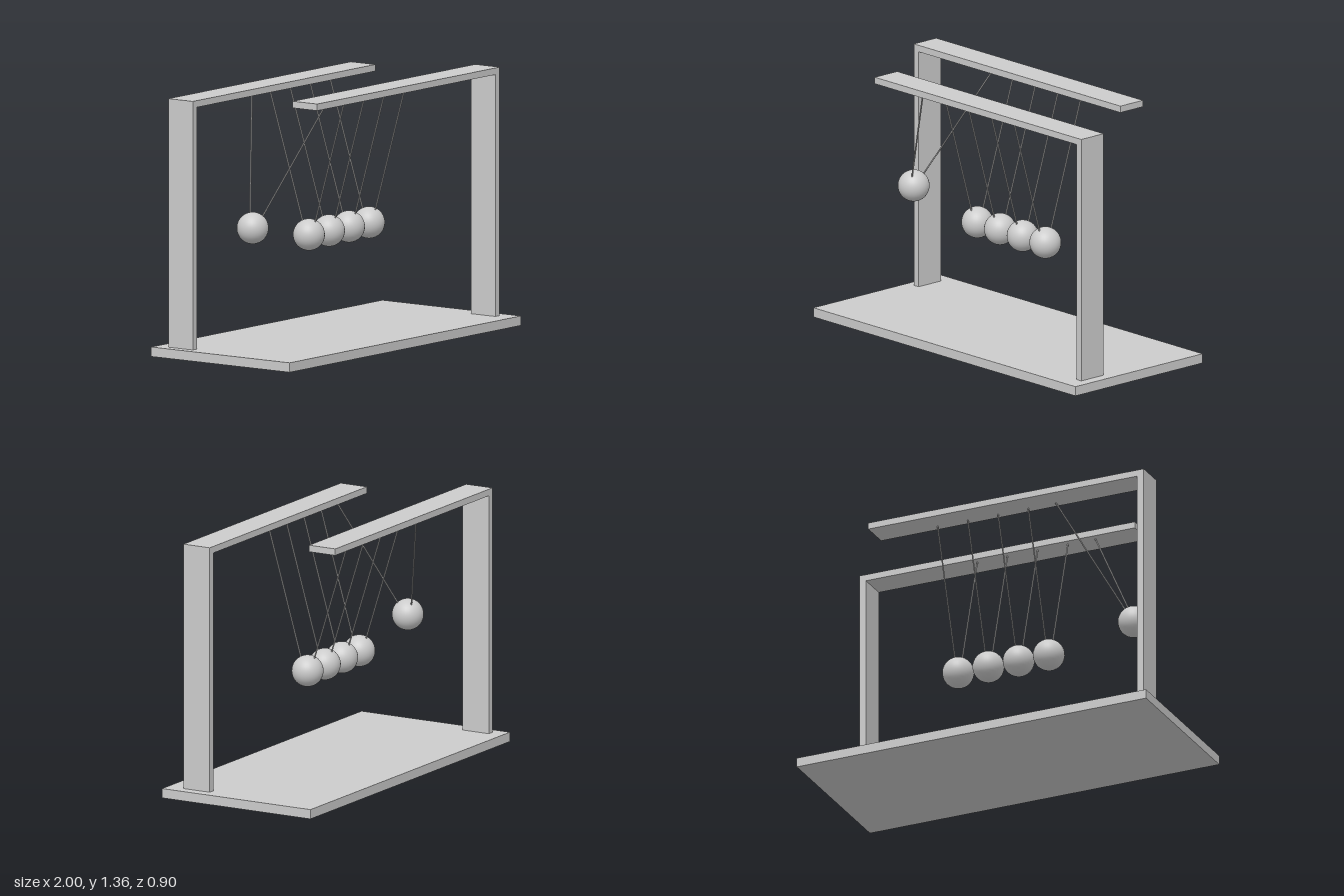
import * as THREE from 'three';

const material = new THREE.MeshStandardMaterial({ color: 0xcccccc });

const BASE_TOP = 0.05, BEAM_BOTTOM = 1.32, BEAM_TOP = 1.355;
const BALL_RADIUS = 0.083;
const FRONT_HOOK_Z = 0.235, BACK_HOOK_Z = -0.253;

function addMesh(parent, name, geometry) {
  const mesh = new THREE.Mesh(geometry, material);
  mesh.name = name;
  parent.add(mesh);
  return mesh;
}

// L-shaped arm: a flat post at postX and a beam reaching to tipX
function addArm(parent, name, postX, tipX, zMin, zMax) {
  const inner = postX + Math.sign(tipX - postX) * 0.037;
  const shape = new THREE.Shape([
    [postX, BASE_TOP], [inner, BASE_TOP], [inner, BEAM_BOTTOM],
    [tipX, BEAM_BOTTOM], [tipX, BEAM_TOP], [postX, BEAM_TOP],
  ].map(([x, y]) => new THREE.Vector2(x, y)));
  const geometry = new THREE.ExtrudeGeometry(shape, { depth: zMax - zMin, bevelEnabled: false });
  addMesh(parent, name, geometry).position.z = zMin;
}

// Thin straight cord between two points
function addString(parent, name, from, to) {
  const direction = to.clone().sub(from);
  const mesh = addMesh(parent, name, new THREE.CylinderGeometry(0.004, 0.004, direction.length(), 8));
  mesh.position.copy(from).addScaledVector(direction, 0.5);
  mesh.quaternion.setFromUnitVectors(new THREE.Vector3(0, 1, 0), direction.normalize());
}

// Ball hung by two strings that meet it just inside its surface
function addPendulum(parent, ballX, ballY, hookX) {
  const pendulum = new THREE.Group();
  pendulum.name = 'pendulum';
  parent.add(pendulum);

  const centre = new THREE.Vector3(ballX, ballY, 0);
  addMesh(pendulum, 'ball', new THREE.SphereGeometry(BALL_RADIUS, 32, 20)).position.copy(centre);

  const up = new THREE.Vector3(hookX, BEAM_BOTTOM, 0).sub(centre).normalize();
  const ends = [['frontString', FRONT_HOOK_Z, 0.04], ['backString', BACK_HOOK_Z, -0.04]];
  for (const [name, hookZ, ballZ] of ends) {
    const foot = centre.clone().addScaledVector(up, 0.066);
    foot.z = ballZ;
    addString(pendulum, name, foot, new THREE.Vector3(hookX, BEAM_BOTTOM + 0.003, hookZ));
  }
}

export function createModel() {
  const model = new THREE.Group();
  model.name = 'pendulumCradle';

  // Base plate
  addMesh(model, 'base', new THREE.BoxGeometry(2, BASE_TOP, 0.9)).position.y = BASE_TOP / 2;

  // Two opposed cantilever arms
  addArm(model, 'frontArm', 0.942, -0.635, 0.196, 0.355);
  addArm(model, 'backArm', -0.951, 0.626, -0.374, -0.215);

  // Four balls at rest and one swung out
  for (let i = 0; i < 4; i++) {
    const x = -0.234 + i * 0.173;
    addPendulum(model, x, 0.588, x);
  }
  addPendulum(model, -0.72, 0.682, -0.39);

  return model;
}
